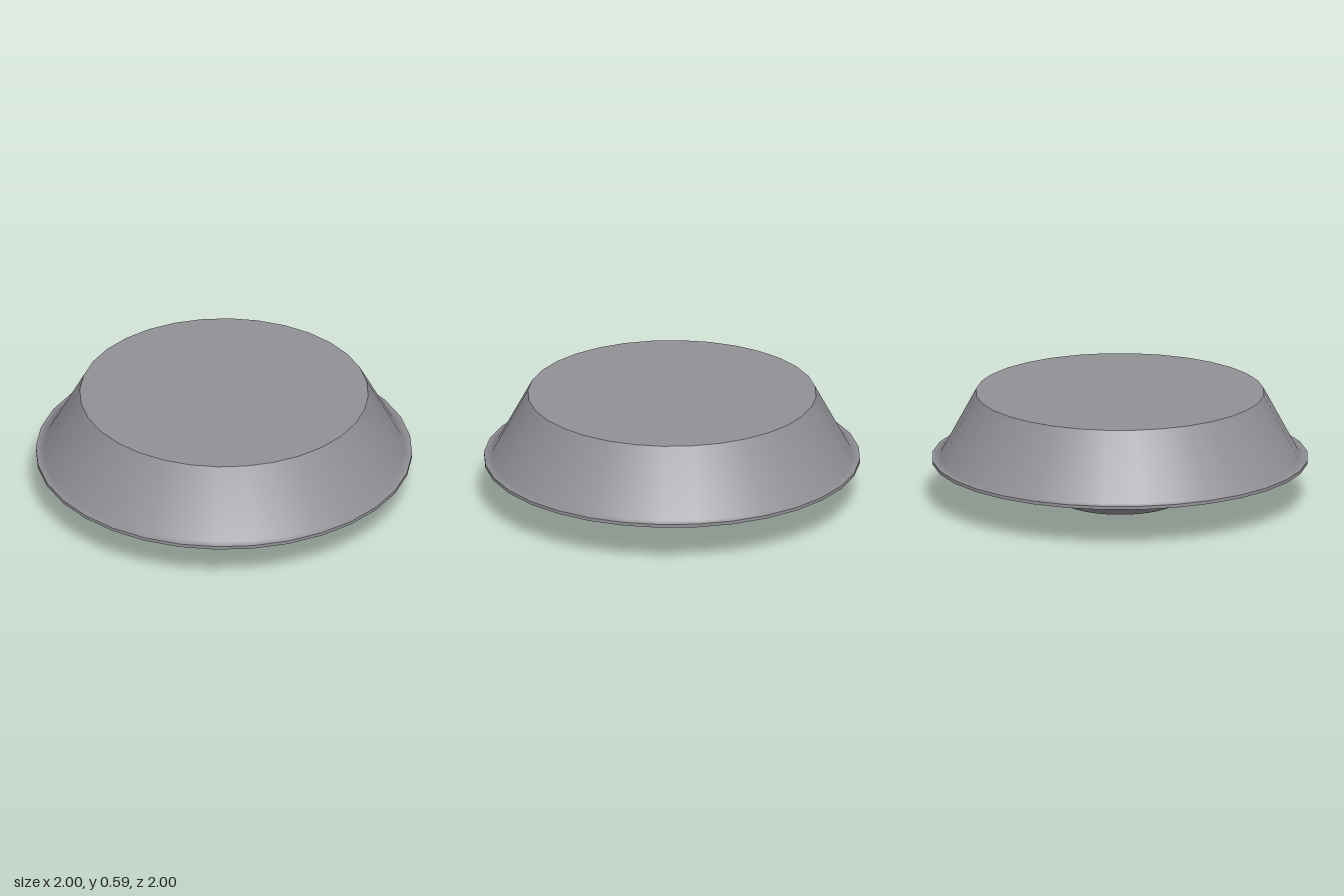
import * as THREE from 'three';

const SIDES = 32;

export function createModel() {
  const model = new THREE.Group();
  const grey = new THREE.MeshStandardMaterial({ color: 0x929196 });

  // Each run is a smooth band [radius, height]; edges between runs stay sharp.
  function turned(name, runs) {
    const part = new THREE.Group();
    part.name = name;
    runs.forEach((run, i) => {
      const profile = run.map(([r, y]) => new THREE.Vector2(r, y));
      const band = new THREE.Mesh(new THREE.LatheGeometry(profile, SIDES), grey);
      band.name = `${name}Band${i + 1}`;
      part.add(band);
    });
    model.add(part);
  }

  // Hollow dish with a thin flange around its open underside
  turned('dish', [
    [[0, 0.55], [0.73, 0.55]],
    [[0.73, 0.55], [0.92, 0.217]],
    [[0.92, 0.217], [1, 0.217]],
    [[1, 0.217], [1, 0.235]],
    [[1, 0.235], [0.955, 0.238], [0.767, 0.59]],
    [[0.767, 0.59], [0, 0.59]],
  ]);

  // Round stem with a chamfered foot
  turned('stem', [
    [[0, 0], [0.315, 0]],
    [[0.315, 0], [0.457, 0.145]],
    [[0.457, 0.145], [0.457, 0.42]],
  ]);

  // Six-sided nut between the stem and the dish ceiling
  const nutGeometry = new THREE.CylinderGeometry(0.54, 0.54, 0.14, 6).toNonIndexed();
  nutGeometry.computeVertexNormals();
  const nut = new THREE.Mesh(nutGeometry, grey);
  nut.name = 'hexNut';
  nut.position.y = 0.48;
  nut.rotation.y = THREE.MathUtils.degToRad(-4);
  model.add(nut);

  return model;
}
